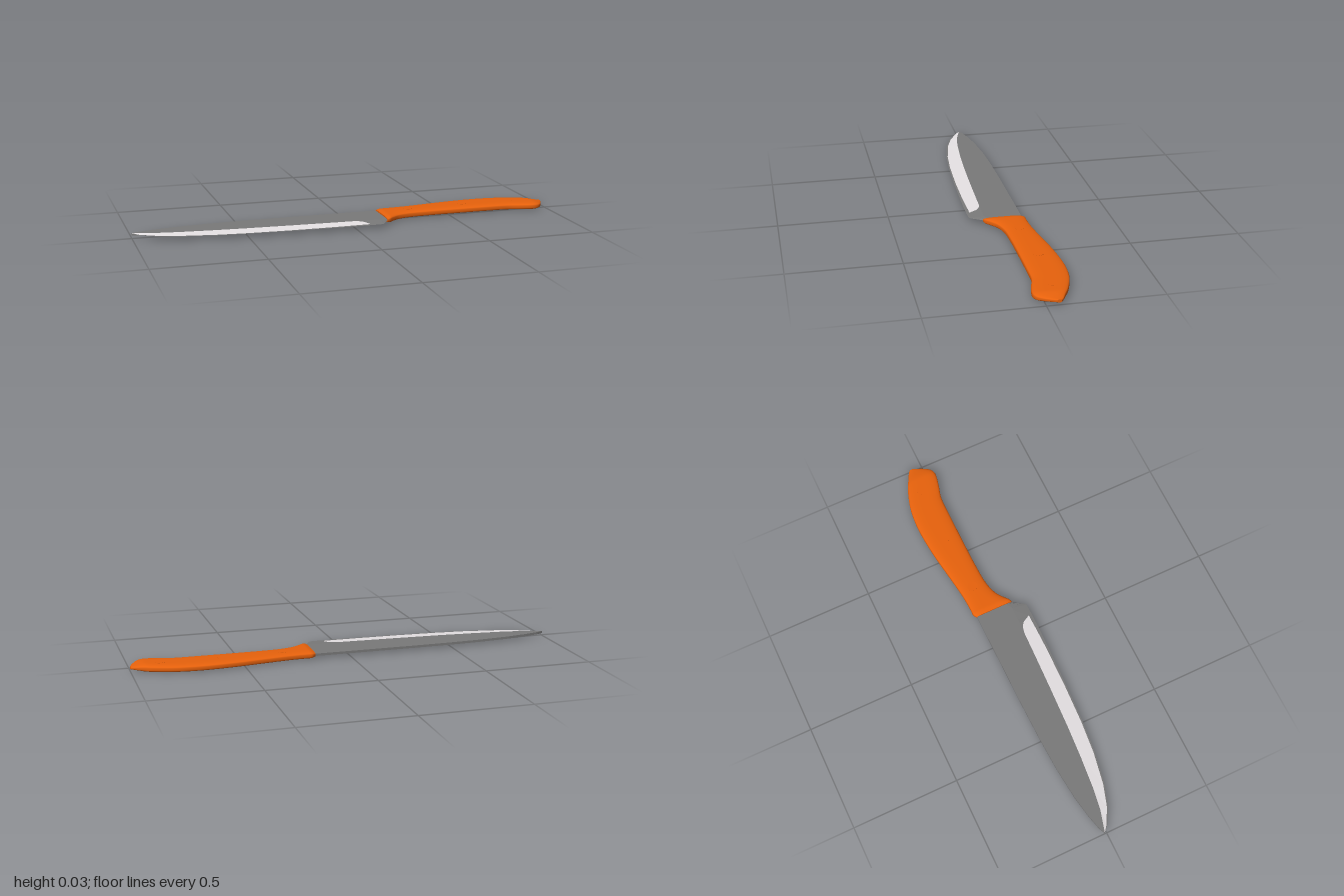
import * as THREE from 'three';

const MID = 0.017; // height of the knife's centre plane

// Skin rows of cross-section points (rows run along +x); keep(j) picks the strips to build
function skin(rows, closed, keep = () => true) {
  const n = rows[0].length;
  const index = [];
  for (let i = 0; i < rows.length - 1; i++) {
    for (let j = 0; j < (closed ? n : n - 1); j++) {
      if (!keep(j)) continue;
      const k = (j + 1) % n;
      const a = i * n + j, b = a + n, c = (i + 1) * n + k, d = i * n + k;
      index.push(a, b, c, a, c, d);
    }
  }
  const geometry = new THREE.BufferGeometry();
  geometry.setAttribute('position', new THREE.Float32BufferAttribute(rows.flat(2), 3));
  geometry.setIndex(index);
  geometry.computeVertexNormals();
  return geometry;
}

function addMesh(group, name, geometry, color, flatShading = false) {
  const mesh = new THREE.Mesh(geometry, new THREE.MeshStandardMaterial({ color, flatShading }));
  mesh.name = name;
  group.add(mesh);
  return mesh;
}

// Blade stations: x, then z of spine, start of taper, bevel top, bevel bottom, cutting edge
const BLADE = [
  [-1, -0.01, -0.01, -0.01, -0.01, -0.01],
  [-0.97, -0.024, -0.002, -0.002, 0.013, 0.018],
  [-0.9, -0.042, 0.018, 0.018, 0.051, 0.057],
  [-0.8, -0.06, 0.033, 0.033, 0.083, 0.09],
  [-0.65, -0.075, 0.047, 0.047, 0.11, 0.117],
  [-0.5, -0.082, 0.057, 0.057, 0.124, 0.131],
  [-0.3, -0.086, 0.066, 0.066, 0.133, 0.141],
  [-0.1, -0.087, 0.073, 0.073, 0.136, 0.147],
  [0, -0.088, 0.076, 0.076, 0.135, 0.149],
  [0.03, -0.088, 0.077, 0.083, 0.134, 0.149],
  [0.05, -0.088, 0.078, 0.098, 0.134, 0.149],
  [0.07, -0.088, 0.078, 0.134, 0.134, 0.149],
  [0.125, -0.088, 0.079, 0.134, 0.134, 0.147],
  [0.135, -0.088, 0.079, 0.12, 0.12, 0.135],
  [0.18, -0.088, 0.05, 0.055, 0.055, 0.065],
];

function bladeSection([x, spine, kink, top, bottom, edge]) {
  const t = 0.0055;
  // half thickness falls from the taper line to zero at the edge
  const half = (z) => (edge > kink ? t * (edge - z) / (edge - kink) : t);
  const side = [[edge, 0], [bottom, half(bottom)], [top, half(top)], [kink, t], [spine, t]];
  return [
    ...side.map(([z, h]) => [x, MID + h, z]),
    ...side.reverse().map(([z, h]) => [x, MID - h, z]),
  ];
}

// Handle outline: x, back z, belly z
const HANDLE = [
  [0.165, -0.09, 0.09], [0.18, -0.1, 0.085], [0.205, -0.101, 0.064], [0.24, -0.102, 0.04],
  [0.3, -0.107, 0.022], [0.4, -0.121, 0.015], [0.55, -0.143, 0.013], [0.7, -0.153, 0.013],
  [0.8, -0.145, 0.015], [0.86, -0.13, 0.03], [0.92, -0.108, 0.042], [0.945, -0.095, 0.039],
  [0.962, -0.086, 0.028], [0.98, -0.077, 0.001], [0.993, -0.069, -0.027], [1, -0.063, -0.045],
];

// Rounded-slab section: inset from the side, share of the full half thickness
const ROUNDING = [[0, 0.35], [0.003, 0.58], [0.01, 0.76], [0.022, 0.89], [0.037, 0.97], [0.055, 1]];

function handleSection(x, back, belly) {
  const scale = Math.min(1, (belly - back) / 0.13);
  const start = THREE.MathUtils.smoothstep(x, 0.155, 0.19);
  const end = THREE.MathUtils.smoothstep(x, 0.93, 1.01);
  const h = MID * (0.6 + 0.4 * start) * (1 - 0.65 * end);
  const side = ROUNDING.map(([inset, rise]) => [belly - inset * scale, rise * h]);
  side.push(...ROUNDING.map(([inset, rise]) => [back + inset * scale, rise * h]).reverse());
  const upper = side.map(([z, y]) => [x, MID + y, z]);
  return [...upper, ...side.reverse().map(([z, y]) => [x, MID - y, z])];
}

export function createModel() {
  const knife = new THREE.Group();
  knife.name = 'kitchenKnife';

  // Blade body and the pale ground bevels on both faces
  const blade = BLADE.map(bladeSection);
  const isBevel = (j) => j === 1 || j === 7;
  addMesh(knife, 'blade', skin(blade, false, (j) => !isBevel(j)), 0x7a7a7a, true);
  addMesh(knife, 'bladeBevels', skin(blade, false, isBevel), 0xe6e2e4, true);

  // Handle lofted along a smoothed outline, with flat end caps
  const outline = new THREE.CatmullRomCurve3(HANDLE.map((p) => new THREE.Vector3(...p)));
  const rings = outline.getPoints(60).map((p) => handleSection(p.x, p.y, p.z));
  const cap = (ring) => {
    const z = (ring[0][2] + ring[ROUNDING.length * 2 - 1][2]) / 2;
    return ring.map((p) => [p[0], MID, z]);
  };
  const first = rings[0], last = rings[rings.length - 1];
  const rows = [cap(first), first, ...rings, last, cap(last)];
  addMesh(knife, 'handle', skin(rows, true), 0xe8620c);

  // Rivets running through the handle, almost flush
  [[0.31, -0.045], [0.59, -0.063], [0.87, -0.055]].forEach(([x, z], i) => {
    const rivet = addMesh(knife, `rivet${i + 1}`, new THREE.CylinderGeometry(0.024, 0.024, 0.0344, 24), 0xe8620c);
    rivet.position.set(x, MID + 0.0002, z);
  });

  return knife;
}
